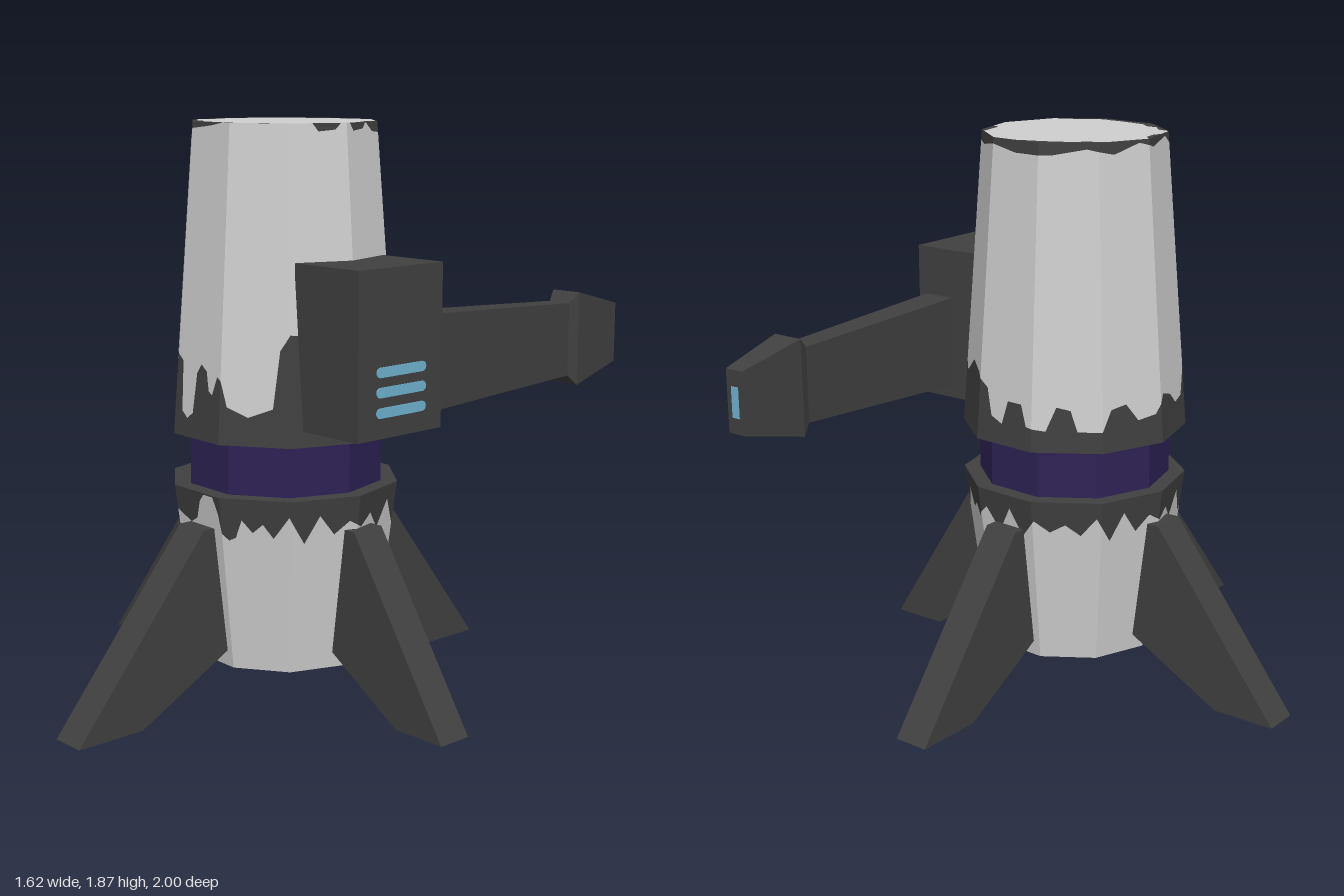
import * as THREE from 'three';

const mat = (name, color, side = THREE.FrontSide) => {
  const m = new THREE.MeshStandardMaterial({ color, side });
  m.name = name;
  return m;
};

const CX = 0.035, CZ = 0.115;   // hull axis
const TWIST = -0.055;           // hull is turned slightly
const SIDES = 10;

// Point on the ten-sided hull: f counts facets from the front one, toward +x
function hullPoint(f, r, y) {
  const k = Math.floor(f), t = f - k;
  const corner = (i) => {
    const a = (i - 0.5) * Math.PI * 2 / SIDES + TWIST;
    return [Math.sin(a) * r, Math.cos(a) * r];
  };
  const a = corner(k), b = corner(k + 1);
  return [CX + a[0] + (b[0] - a[0]) * t, y, CZ + a[1] + (b[1] - a[1]) * t];
}

// Height of a broken line of [f, value] pairs
function sample(line, f) {
  if (typeof line === 'number') return line;
  for (let i = 1; i < line.length; i++) {
    const [f0, v0] = line[i - 1], [f1, v1] = line[i];
    if (f <= f1) return v0 + (v1 - v0) * (f - f0) / (f1 - f0);
  }
  return line[line.length - 1][1];
}

// Strip of hull between two broken lines; place(level) gives [radius, y]
function band(name, material, lo, hi, place) {
  const cuts = new Set();
  for (let i = 0; i <= SIDES; i++) cuts.add(i);
  for (const l of [lo, hi]) if (Array.isArray(l)) l.forEach((p) => cuts.add(p[0]));
  const fs = [...cuts].sort((a, b) => a - b);
  const pos = [];
  for (let i = 1; i < fs.length; i++) {
    const f0 = fs[i - 1], f1 = fs[i];
    const at = (f, line) => hullPoint(f, ...place(sample(line, f)));
    const a = at(f0, lo), b = at(f1, lo), c = at(f1, hi), d = at(f0, hi);
    const same = (p, q) => Math.hypot(p[0] - q[0], p[1] - q[1], p[2] - q[2]) < 1e-5;
    if (!same(a, b) && !same(b, c)) pos.push(...a, ...b, ...c);
    if (!same(c, d) && !same(a, d)) pos.push(...a, ...c, ...d);
  }
  const g = new THREE.BufferGeometry();
  g.setAttribute('position', new THREE.Float32BufferAttribute(pos, 3));
  g.computeVertexNormals();
  const mesh = new THREE.Mesh(g, material);
  mesh.name = name;
  return mesh;
}

// Ragged paint edges around the hull
const UPPER_EDGE = [[0, 1.14], [0.12, 1.12], [0.16, 0.96], [0.28, 0.94], [0.4, 0.96], [0.46, 1.09],
  [0.55, 1.12], [0.68, 1.1], [0.74, 1.04], [0.82, 1.03], [0.92, 1.09], [1, 1.08], [1.1, 1], [1.4, 0.97],
  [1.75, 1], [1.85, 1.18], [2, 1.23], [3, 1.2], [3.8, 1.15], [4.1, 1.06], [4.5, 1.12], [4.9, 1.1],
  [5.15, 1.06], [5.25, 0.97], [5.45, 0.95], [5.55, 1.03], [5.8, 1.03], [5.9, 0.96], [6.2, 0.95],
  [6.35, 1.03], [6.55, 1.02], [6.65, 0.95], [7, 0.95], [7.15, 1.02], [7.4, 1.03], [7.6, 0.97],
  [7.9, 0.98], [8.1, 1.04], [8.4, 1.02], [8.6, 0.98], [8.85, 0.99], [9, 1.08], [9.3, 1.1], [9.65, 1.17], [10, 1.14]];
const TOP_EDGE = [[0, 1.85], [0.5, 1.86], [0.8, 1.87], [2.4, 1.87], [2.5, 1.845], [2.8, 1.85], [2.9, 1.87],
  [3.1, 1.87], [3.2, 1.845], [3.5, 1.85], [3.6, 1.87], [3.8, 1.84], [4.3, 1.83], [5, 1.85], [5.5, 1.83],
  [6.2, 1.83], [6.8, 1.85], [7.3, 1.83], [7.8, 1.86], [8.2, 1.84], [8.8, 1.86], [9.1, 1.82], [9.6, 1.83], [10, 1.85]];
const CAP_EDGE = [[0, 0.12], [0.6, 0.08], [0.9, 0.09], [1.2, 0.03], [1.6, 0.04], [1.8, 0], [3.5, 0], [3.6, 0.09],
  [4, 0.08], [4.2, 0], [5.5, 0], [5.7, 0.05], [6, 0.11], [6.5, 0.07], [6.9, 0.11], [7.2, 0.02], [8, 0],
  [8.15, 0.07], [8.5, 0.06], [8.6, 0], [9, 0], [9.2, 0.08], [9.5, 0.04], [9.7, 0.12], [10, 0.12]];
const LOWER_EDGE = [[0, 0.63], [0.3, 0.6], [0.45, 0.62], [0.55, 0.68], [0.65, 0.705], [0.85, 0.705],
  [0.95, 0.65], [1, 0.59], [1.1, 0.57], [1.2, 0.58], [1.3, 0.64], [1.45, 0.6], [1.6, 0.63]];
// evenly scattered drips for the rest of the lower edge
for (let i = 0; i < 36; i++) {
  const f = 1.75 + i * 0.225;
  LOWER_EDGE.push([f, (i % 2 ? 0.645 : 0.585) + 0.018 * Math.sin(i * 2.3)]);
}
LOWER_EDGE.push([10, 0.63]);

export function createModel() {
  const root = new THREE.Group();
  const white = mat('worn white paint', 0xd0d0d0);
  const dark = mat('dark metal', 0x404040);
  const purple = mat('purple collar', 0x2e2255);
  const cyan = mat('cyan light', 0x70b4d2);

  const add = (name, geometry, material, x = 0, y = 0, z = 0) => {
    const m = new THREE.Mesh(geometry, material);
    m.name = name;
    m.position.set(x, y, z);
    root.add(m);
    return m;
  };

  // Hull: two tapering drums
  const upper = (y) => [0.38 - 0.075 * (y - 0.88) / 0.99, y];
  const lower = (y) => [0.305 + 0.075 * (y - 0.13) / 0.58, y];
  const capUp = (r, y) => (t) => [r * (1 - t), y];
  const capDown = (r, y) => (t) => [r * t, y];
  root.add(
    band('upperHullDarkBase', dark, 0.88, UPPER_EDGE, upper),
    band('upperHullPaint', white, UPPER_EDGE, TOP_EDGE, upper),
    band('upperHullDarkRim', dark, TOP_EDGE, 1.87, upper),
    band('topCapWear', dark, 0, CAP_EDGE, capUp(0.305, 1.87)),
    band('topCap', white, CAP_EDGE, 1, capUp(0.305, 1.87)),
    band('upperHullUnderside', white, 0, 1, capDown(0.38, 0.88)),
    band('lowerHullPaint', white, 0.13, LOWER_EDGE, lower),
    band('lowerHullDarkRim', dark, LOWER_EDGE, 0.71, lower),
    band('lowerHullTop', dark, 0, 1, capUp(0.38, 0.71)),
    band('lowerHullUnderside', white, 0, 1, capDown(0.305, 0.13)),
    // Collar between the drums
    band('collarWall', purple, 0.7, 0.87, (y) => [0.325, y]),
    band('collarTop', purple, 0, 1, capUp(0.325, 0.87)),
  );

  // Four landing fins: direction, foot reach, inner foot reach
  const fins = [
    ['rightFin', Math.PI, 0.85, 0.63],
    ['leftFin', 0, 0.775, 0.58],
    ['frontFin', -Math.PI / 2 - 0.018, 0.885, 0.645],
    ['backFin', Math.PI / 2 - 0.022, 0.85, 0.615],
  ];
  for (const [name, angle, foot, heel] of fins) {
    const s = new THREE.Shape([[0.25, 0.21], [heel, 0], [foot, 0], [0.392, 0.6], [0.25, 0.6]]
      .map((p) => new THREE.Vector2(...p)));
    const g = new THREE.ExtrudeGeometry(s, { depth: 0.122, bevelEnabled: false });
    g.translate(0, 0, -0.061);
    add(name, g, dark, CX, 0, CZ).rotation.y = angle;
  }

  // Side housing with three light slots
  add('sideHousing', new THREE.BoxGeometry(0.275, 0.52, 0.365), dark, 0.4425, 1.19, 0.1325);
  const slot = new THREE.Shape();
  slot.absarc(0.092, 0, 0.016, -Math.PI / 2, Math.PI / 2);
  slot.absarc(-0.092, 0, 0.016, Math.PI / 2, Math.PI * 1.5);
  for (const y of [1.135, 1.073, 1.01]) {
    const g = new THREE.ExtrudeGeometry(slot, { depth: 0.004, bevelEnabled: false, curveSegments: 4 });
    add('lightSlot', g.rotateY(Math.PI / 2), cyan, 0.579, y, 0.13);
  }

  // Rear arm: rectangular sections [z, half width, low y, high y]
  const sections = [[-0.04, 0.057, 0.975, 1.285], [-0.735, 0.042, 1.005, 1.253],
    [-0.77, 0.056, 0.97, 1.288], [-1, 0.035, 1.025, 1.23]];
  for (let i = 1; i < sections.length; i++) {
    const g = new THREE.BoxGeometry(1, 1, 1);
    const p = g.attributes.position;
    for (let v = 0; v < p.count; v++) {
      const [z, w, y0, y1] = p.getZ(v) > 0 ? sections[i - 1] : sections[i];
      p.setXYZ(v, 0.491 + Math.sign(p.getX(v)) * w, p.getY(v) > 0 ? y1 : y0, z);
    }
    g.computeVertexNormals();
    add(['armBeam', 'armFlare', 'armNozzle'][i - 1], g, dark);
  }
  add('nozzleLight', new THREE.BoxGeometry(0.03, 0.1, 0.004), cyan, 0.491, 1.127, -1);

  root.name = 'finnedTower';
  return root;
}
